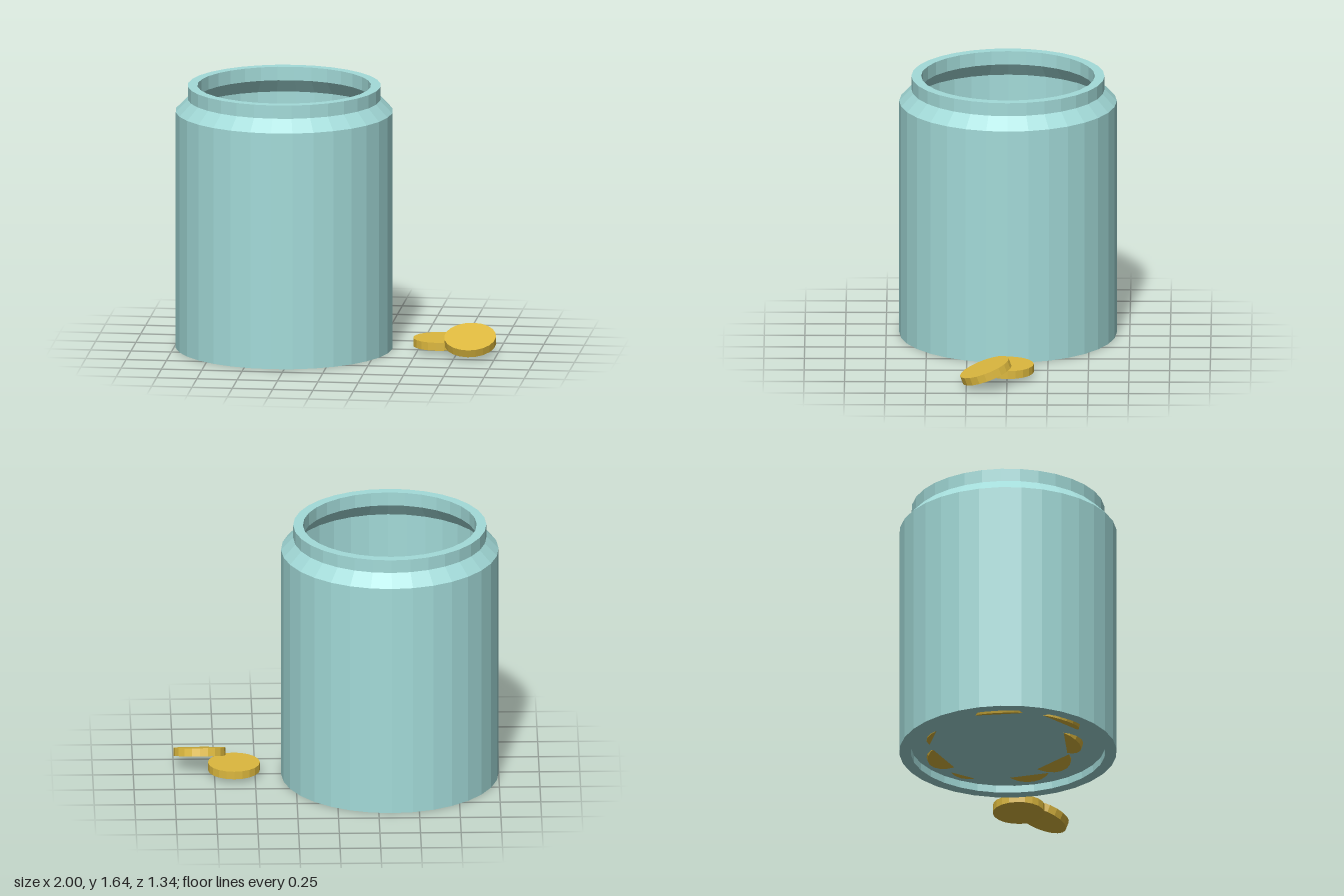
import * as THREE from 'three';

const JAR_X = -0.33;
const COIN_R = 0.16, COIN_H = 0.05;

const glass = new THREE.MeshStandardMaterial({ color: 0xa3dbd9, flatShading: true, side: THREE.DoubleSide });
const gold = new THREE.MeshStandardMaterial({ color: 0xdcb83e, flatShading: true });
const coinGeometry = new THREE.CylinderGeometry(COIN_R, COIN_R, COIN_H, 20);

function makeJar() {
  const jar = new THREE.Group();
  jar.name = 'jar';
  // Closed wall section: foot, outer wall, shoulder, neck, then back down inside
  const section = [
    [0.6, 0], [0.67, 0], [0.67, 1.485], [0.595, 1.562], [0.595, 1.645],
    [0.535, 1.645], [0.535, 1.56], [0.6, 1.475], [0.6, 0],
  ].map(([r, y]) => new THREE.Vector2(r, y));
  const wall = new THREE.Mesh(new THREE.LatheGeometry(section, 32), glass);
  wall.name = 'jarWall';

  // Floor set slightly above the foot ring
  const floor = new THREE.Mesh(new THREE.CircleGeometry(0.6, 32).rotateX(-Math.PI / 2), glass);
  floor.name = 'jarFloor';
  floor.position.y = 0.047;

  jar.add(wall, floor);
  jar.position.x = JAR_X;
  return jar;
}

// Coin leaning by the given angle (radians), downhill towards (dx, dz)
function makeCoin(name, x, y, z, lean = 0, dx = 0, dz = 1) {
  const coin = new THREE.Mesh(coinGeometry, gold);
  coin.name = name;
  coin.position.set(x, y, z);
  const downhill = new THREE.Vector3(dx, 0, dz).normalize();
  const axis = new THREE.Vector3(0, 1, 0).cross(downhill);
  coin.quaternion.setFromAxisAngle(axis, lean);
  return coin;
}

export function createModel() {
  const model = new THREE.Group();
  model.name = 'coinJar';
  model.add(makeJar());

  // Coins in the jar: x, height, z, outward lean
  const pile = new THREE.Group();
  pile.name = 'coinPile';
  [
    [-0.43, 0.09, -0.34, 0.15], [-0.18, 0.09, -0.36, 0.3], [-0.61, 0.13, -0.25, 0.28],
    [0.0, 0.11, -0.24, 0.3], [-0.73, 0.09, -0.02, 0.35], [-0.63, 0.17, 0.06, 0.15],
    [-0.28, 0.14, -0.16, 0.05], [-0.09, 0.18, 0.03, 0.12], [0.04, 0.1, 0.08, 0.3],
    [-0.34, 0.19, 0.19, 0.12], [-0.6, 0.09, 0.31, 0.35], [-0.33, 0.09, 0.31, 0.35],
    [-0.1, 0.09, 0.22, 0.3], [-0.44, 0.23, 0.03, 0.1],
  ].forEach(([x, y, z, lean], i) => {
    pile.add(makeCoin(`pileCoin${i + 1}`, x, y, z, lean, x - JAR_X, z));
  });
  model.add(pile);

  // Two loose coins beside the jar, one leaning on the other
  model.add(makeCoin('flatCoin', 0.63, 0.055, -0.005));
  model.add(makeCoin('leaningCoin', 0.84, 0.098, 0.13, 0.35));
  return model;
}
